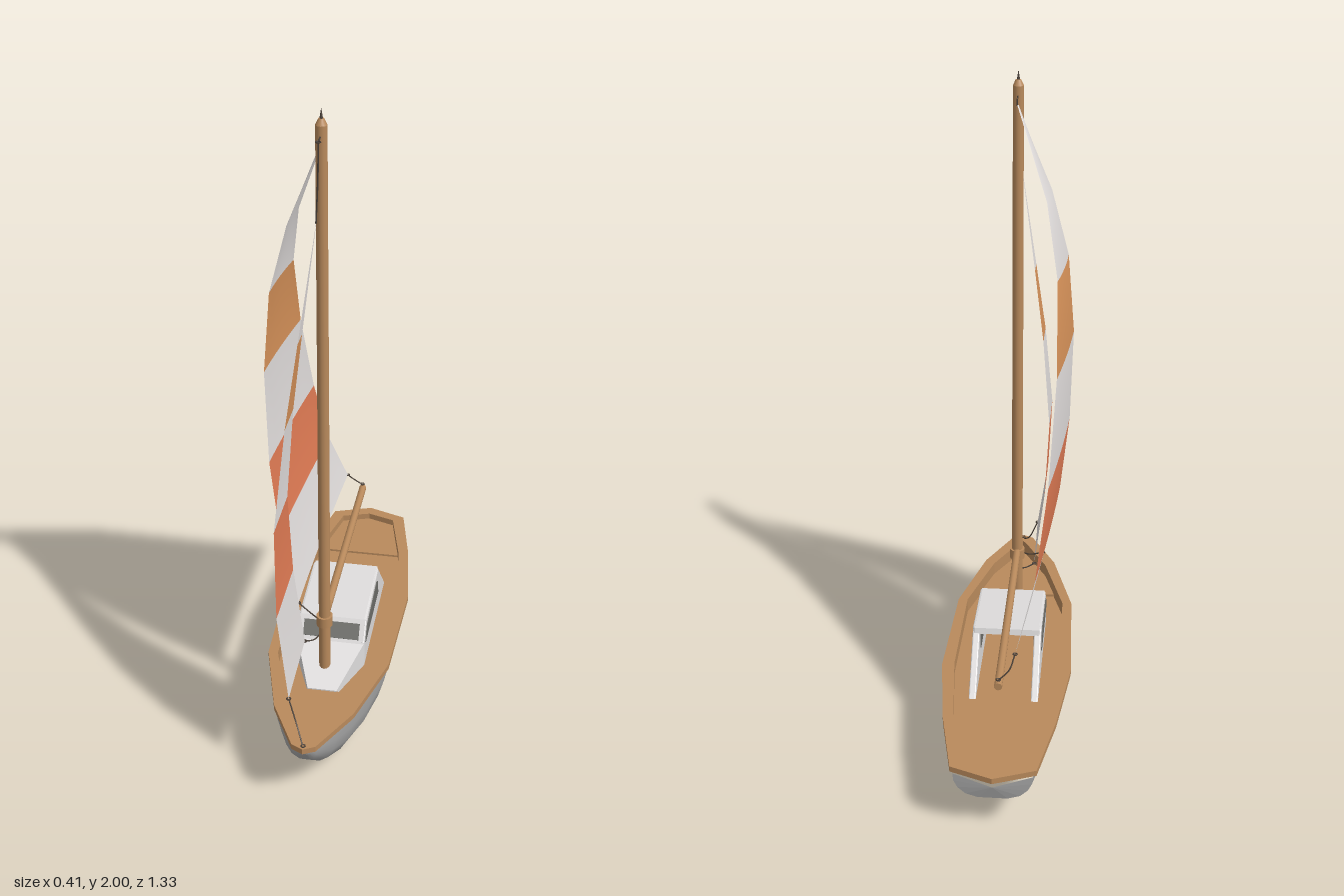
import * as THREE from 'three';

const mat = (name, color, side = THREE.FrontSide) => {
  const m = new THREE.MeshStandardMaterial({ color, side });
  m.name = name;
  return m;
};

export function createModel() {
  const boat = new THREE.Group();
  boat.name = 'sailboat';
  const hullGrey = mat('hull grey', 0xa8a8a8);
  const wood = mat('wood', 0xb98a5c);
  const white = mat('cabin white', 0xdedcdc);
  const glass = mat('window grey', 0x6c6c68);
  const rope = mat('rope dark', 0x4a4038);
  const cloth = mat('sail white', 0xe2dedd, THREE.DoubleSide);
  const amber = mat('sail amber', 0xd8935a, THREE.DoubleSide);
  const rust = mat('sail rust', 0xe07b54, THREE.DoubleSide);

  const add = (name, geo, material, parent = boat) => {
    const m = new THREE.Mesh(geo, material);
    m.name = name;
    parent.add(m);
    return m;
  };

  // Surface through rows of [x, y, z] points
  const skin = (rows, { closed = false, flat = false } = {}) => {
    const n = rows[0].length, idx = [];
    for (let i = 0; i < rows.length - 1; i++)
      for (let j = 0; j < (closed ? n : n - 1); j++) {
        const k = (j + 1) % n, a = i * n + j, b = i * n + k, c = a + n, d = b + n;
        idx.push(a, b, d, a, d, c);
      }
    let g = new THREE.BufferGeometry();
    g.setAttribute('position', new THREE.Float32BufferAttribute(rows.flat(2), 3));
    g.setIndex(idx);
    if (flat) g = g.toNonIndexed();
    g.computeVertexNormals();
    return g;
  };

  // Hull: stations of [z, half width, keel height], bow to stern
  const sheer = z => 0.222 + 0.023 * z;
  const section = [[1, 1], [0.98, 0.7], [0.88, 0.4], [0.68, 0.14], [0.38, 0]];
  const ribs = [...section, ...section.slice().reverse().map(([x, y]) => [-x, y])];
  const stations = [
    [0.64, 0.022, 0.2], [0.62, 0.04, 0.165], [0.55, 0.08, 0.1], [0.47, 0.115, 0.058],
    [0.36, 0.15, 0.025], [0.22, 0.178, 0.005], [0, 0.19, 0], [-0.2, 0.188, 0.005],
    [-0.4, 0.16, 0.04], [-0.635, 0.115, 0.115],
  ];
  const hullRows = stations.map(([z, w, keel]) =>
    ribs.map(([x, y]) => [x * w, keel + y * (sheer(z) - 0.012 - keel), z]));
  add('hull', skin(hullRows), hullGrey);
  const capRow = (y, z) => ribs.map(() => [0, y, z]);
  add('transom', skin([hullRows.at(-1), capRow(0.16, -0.645)], { flat: true }), hullGrey);
  add('stem', skin([capRow(0.225, 0.65), hullRows[0]], { flat: true }), hullGrey);

  // Gunwale: band between outer and inner deck outlines with an inner wall
  const mirror = half => [...half, ...half.slice(1, -1).reverse().map(([x, z]) => [-x, z])];
  const outer = mirror([[0, 0.66], [0.035, 0.642], [0.12, 0.48], [0.19, 0.23],
    [0.203, -0.14], [0.17, -0.4], [0.125, -0.62], [0, -0.665]]);
  const inner = mirror([[0, 0.62], [0.02, 0.59], [0.09, 0.46], [0.16, 0.23],
    [0.165, -0.13], [0.14, -0.38], [0.09, -0.595], [0, -0.625]]);
  const ring = (line, dy) => line.map(([x, z]) => [x, sheer(z) + dy, z]);
  add('gunwale', skin([
    ring(inner, -0.018), ring(outer, -0.018), ring(outer, 0), ring(inner, 0),
    inner.map(([x, z]) => [x, 0.174, z]),
  ], { closed: true, flat: true }), wood);

  // Decks
  const deck = (name, pts, top) => {
    const s = new THREE.Shape(pts.map(([x, z]) => new THREE.Vector2(x, -z)));
    const g = new THREE.ExtrudeGeometry(s, { depth: 0.008, bevelEnabled: false });
    add(name, g.rotateX(-Math.PI / 2).translate(0, top - 0.008, 0), wood);
  };
  deck('cockpitFloor', inner, 0.18);
  deck('foreDeck', mirror([[0, 0.62], [0.02, 0.59], [0.09, 0.46], [0.126, 0.34], [0, 0.34]]), 0.19);
  deck('aftDeck', mirror([[0, -0.41], [0.133, -0.41], [0.09, -0.595], [0, -0.625]]), 0.187);

  // Cabin: slabs drawn as [z, y] profiles and extruded across x
  const cabin = new THREE.Group();
  cabin.name = 'cabin';
  boat.add(cabin);
  const slab = (name, pts, width, x, material, bevel = 0) => {
    const s = new THREE.Shape(pts.map(p => new THREE.Vector2(...p)));
    const g = new THREE.ExtrudeGeometry(s, {
      depth: width - 2 * bevel, bevelEnabled: bevel > 0, bevelSize: bevel,
      bevelThickness: bevel, bevelOffset: -bevel, bevelSegments: 2,
    });
    g.rotateY(-Math.PI / 2).translate(x + width / 2 - bevel, 0, 0);
    return add(name, g, material, cabin);
  };
  for (const s of [1, -1]) {
    slab('cabinSide', [[-0.265, 0.174], [0.19, 0.174], [0.19, 0.268], [0.145, 0.325], [-0.105, 0.344]],
      0.022, s * 0.096, white, 0.004);
    const pane = [[-0.095, 0.258], [0.172, 0.258], [0.14, 0.302], [-0.06, 0.321], [-0.085, 0.308]];
    slab('sideWindow', pane, 0.004, s * 0.1075, glass);
    slab('sideWindowInside', pane, 0.004, s * 0.0845, glass);
  }
  slab('cabinRoof', [[-0.12, 0.327], [0.135, 0.308], [0.148, 0.326], [-0.115, 0.345]], 0.208, 0, white, 0.004);
  slab('windshield', [[0.172, 0.25], [0.194, 0.262], [0.148, 0.326], [0.128, 0.312]], 0.206, 0, white);
  slab('frontWindow', [[0.1865, 0.273], [0.1885, 0.275], [0.159, 0.316], [0.157, 0.314]], 0.175, 0, glass);
  slab('frontWindowInside', [[0.163, 0.261], [0.165, 0.263], [0.135, 0.305], [0.133, 0.303]], 0.16, 0, glass);

  // Tapered cabin nose ahead of the windshield
  const frame = (w, y, z) => [[w, 0.175, z], [-w, 0.175, z], [-w, y, z], [w, y, z]];
  const point = (y, z) => Array(4).fill([0, y, z]);
  add('cabinNose', skin([point(0.22, 0.342), frame(0.045, 0.194, 0.342),
    frame(0.106, 0.265, 0.19), point(0.22, 0.185)].map((r, i) =>
    i === 0 ? point(0.185, 0.342) : r), { closed: true, flat: true }), white, cabin);

  // Mast and boom
  const MX = -0.005, MZ = 0.262;
  const rod = (name, r0, r1, y0, y1, sides = 12) =>
    add(name, new THREE.CylinderGeometry(r1, r0, y1 - y0, sides).translate(MX, (y0 + y1) / 2, MZ), wood);
  rod('mast', 0.018, 0.016, 0.18, 1.955);
  rod('mastCap', 0.016, 0.008, 1.955, 1.972);
  add('mastSpike', new THREE.ConeGeometry(0.005, 0.03, 8).translate(MX, 1.985, MZ), rope);
  rod('mastCollar', 0.025, 0.025, 0.383, 0.417);
  const boom = add('boom', new THREE.CylinderGeometry(0.012, 0.012, 0.75, 10), wood);
  boom.rotation.x = Math.PI / 2 - 0.012;
  boom.position.set(MX, 0.405, -0.12);

  // Sails: rows run from head to foot, each given as two edge points
  const sail = (name, rows, camber) => {
    const N = 6;
    const g = skin(rows.map(([a, b]) => Array.from({ length: N + 1 }, (_, j) => {
      const t = j / N, p = a.map((v, k) => v + (b[k] - v) * t);
      p[0] -= camber * 4 * t * (1 - t);
      return p;
    })));
    const bands = rows.length === 7 ? [0, 0, 1, 0, 2, 0] : [0, 1, 0, 2, 0];
    bands.forEach((m, i) => g.addGroup(i * N * 6, N * 6, m));
    add(name, g, [cloth, amber, rust]);
  };
  sail('mainSail', [
    [[-0.006, 1.905, 0.221], [-0.005, 1.91, 0.215]],
    [[-0.108, 1.66, 0.223], [-0.1, 1.66, 0.092]],
    [[-0.16, 1.46, 0.225], [-0.138, 1.46, -0.01]],
    [[-0.18, 1.215, 0.226], [-0.145, 1.21, -0.135]],
    [[-0.172, 0.92, 0.226], [-0.13, 0.92, -0.258]],
    [[-0.145, 0.67, 0.226], [-0.1, 0.67, -0.36]],
    [[-0.092, 0.425, 0.226], [-0.05, 0.48, -0.443]],
  ], 0.004);
  const jibTop = [-0.015, 1.7, 0.293];
  sail('jib', [
    [jibTop, [-0.015, 1.7, 0.289]],
    [[-0.055, 1.38, 0.362], [-0.055, 1.38, 0.297]],
    [[-0.083, 1.145, 0.42], [-0.083, 1.145, 0.298]],
    [[-0.105, 0.855, 0.488], [-0.105, 0.855, 0.298]],
    [[-0.092, 0.6, 0.54], [-0.092, 0.6, 0.298]],
    [[-0.055, 0.343, 0.572], [-0.06, 0.338, 0.298]],
  ], 0);

  // Rigging lines and the small rings at the sail corners
  const line = (name, ...pts) => {
    const curve = new THREE.CatmullRomCurve3(pts.map(p => new THREE.Vector3(...p)));
    add(name, new THREE.TubeGeometry(curve, 12, 0.0022, 5), rope);
  };
  line('bowLine', [0, 0.23, 0.645], [-0.025, 0.265, 0.6], [-0.055, 0.343, 0.572]);
  line('jibHalyard', jibTop, [-0.008, 1.82, 0.3], [MX, 1.925, 0.305]);
  line('mastheadLine', [MX, 1.925, 0.307], [MX, 1.928, MZ], [MX, 1.925, 0.22]);
  line('mainHalyard', [MX, 1.925, 0.22], [MX, 1.905, 0.219]);
  line('jibSheet', [-0.06, 0.338, 0.298], [-0.035, 0.333, 0.28], [-0.02, 0.34, MZ]);
  line('tackLine', [-0.092, 0.425, 0.226], [-0.05, 0.405, 0.245], [-0.025, 0.4, MZ]);
  line('mainSheet', [-0.05, 0.48, -0.443], [-0.035, 0.445, -0.475], [MX, 0.418, -0.487]);
  for (const p of [[0, 0.238, 0.645], [-0.055, 0.343, 0.572], [-0.06, 0.338, 0.298],
    [-0.092, 0.425, 0.226], [-0.05, 0.48, -0.443], [MX, 0.42, -0.487], [MX, 1.925, 0.307]])
    add('lineRing', new THREE.TorusGeometry(0.006, 0.002, 5, 10).rotateX(Math.PI / 2).translate(...p), rope);

  return boat;
}
